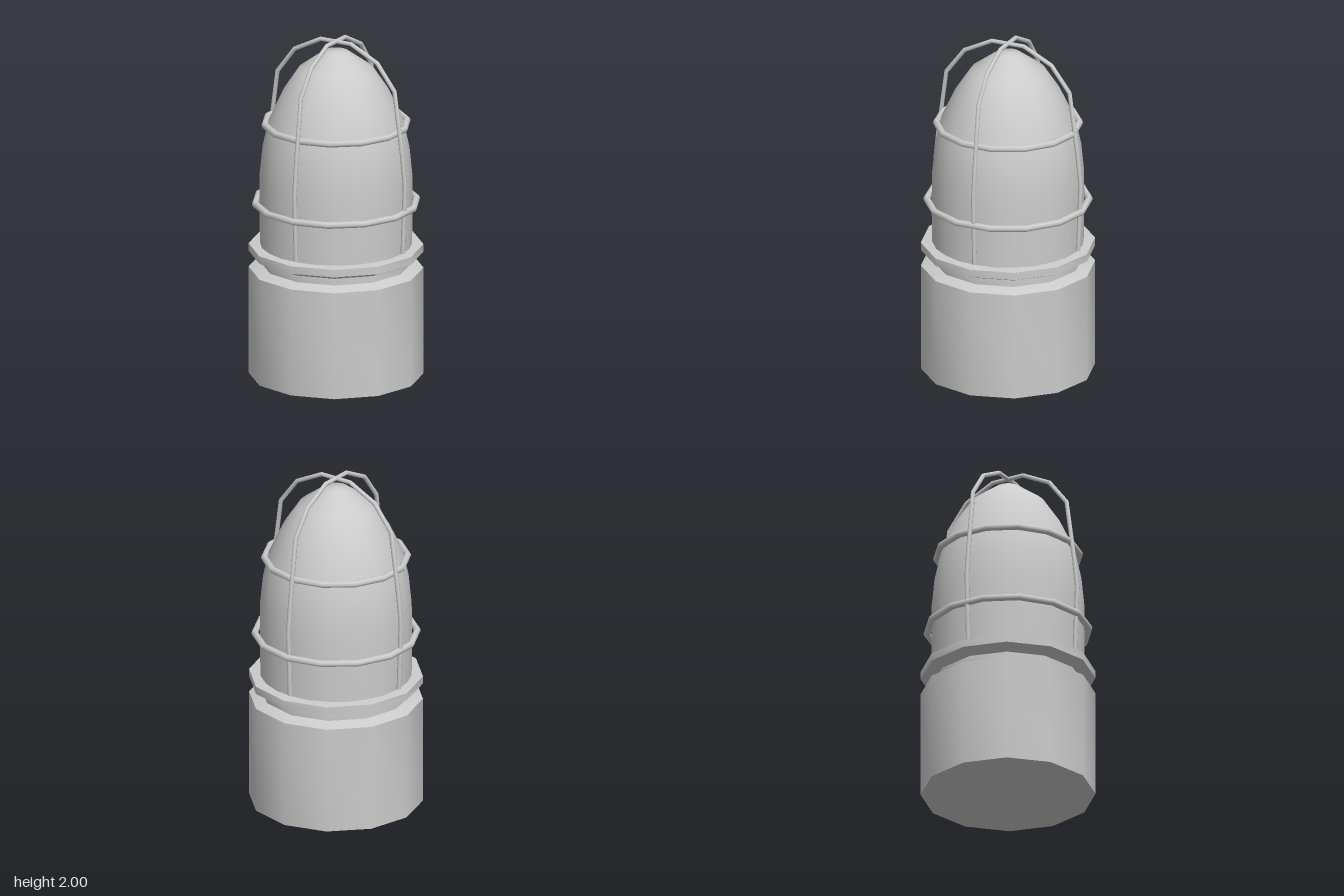
import * as THREE from 'three';
import { toCreasedNormals } from 'three/addons/utils/BufferGeometryUtils.js';

const material = new THREE.MeshStandardMaterial({ color: 0xcccccc });

function part(name, geometry) {
  const mesh = new THREE.Mesh(geometry, material);
  mesh.name = name;
  return mesh;
}

function lathe(points, sides) {
  return new THREE.LatheGeometry(points.map(([r, y]) => new THREE.Vector2(r, y)), sides);
}

// Straight-sided path whose joints are mitred by averaging neighbouring directions
class Polyline extends THREE.Curve {
  constructor(points) {
    super();
    this.points = points;
  }
  getPointAt(t) {
    const n = this.points.length - 1;
    const i = Math.min(Math.floor(t * n + 1e-6), n - 1);
    return this.points[i].clone().lerp(this.points[i + 1], t * n - i);
  }
  getTangentAt(t) {
    const p = this.points;
    const i = Math.round(t * (p.length - 1));
    const dir = (a, b) => p[b].clone().sub(p[a]).normalize();
    const tangent = new THREE.Vector3();
    if (i > 0) tangent.add(dir(i - 1, i));
    if (i < p.length - 1) tangent.add(dir(i, i + 1));
    return tangent.normalize();
  }
}

export function createModel() {
  const model = new THREE.Group();

  // Twelve-sided base with a groove and a flange on top
  const baseProfile = [
    [0, 0], [0.5, 0], [0.5, 0.635], [0.43, 0.66], [0.43, 0.7],
    [0.5, 0.73], [0.5, 0.775], [0.4, 0.785],
  ];
  model.add(part('base', toCreasedNormals(lathe(baseProfile, 12), 0.6)));

  // Smooth bullet-shaped glass dome
  const domeProfile = [
    [0.435, 0.77], [0.438, 1.0], [0.436, 1.2], [0.42, 1.36], [0.385, 1.52],
    [0.305, 1.69], [0.215, 1.825], [0.07, 1.93], [0, 1.935],
  ];
  model.add(part('dome', lathe(domeProfile, 24)));

  // Guard cage: two horizontal hoops and two crossing arches
  const cage = new THREE.Group();
  cage.name = 'cage';
  for (const [name, radius, y] of [['lowerHoop', 0.465, 1.03], ['upperHoop', 0.41, 1.5]]) {
    const hoop = new THREE.TorusGeometry(radius, 0.02, 8, 14);
    hoop.rotateX(Math.PI / 2).rotateY(Math.PI / 2).translate(0, y, 0);
    cage.add(part(name, hoop));
  }

  const half = [[0.445, 0.79], [0.46, 1.2], [0.442, 1.37], [0.39, 1.75], [0.275, 1.9], [0.1, 1.987]];
  const arch = [...half.map(([x, y]) => [-x, y]), ...half.slice().reverse()];
  const path = new Polyline(arch.map(([x, y]) => new THREE.Vector3(x, y, 0)));
  ['sideArch', 'frontArch'].forEach((name, i) => {
    const wire = part(name, new THREE.TubeGeometry(path, arch.length - 1, 0.013, 8));
    wire.rotation.y = i * Math.PI / 2;
    cage.add(wire);
    // Close the wire's feet
    for (const s of [-1, 1]) {
      const foot = part('wireFoot', new THREE.CircleGeometry(0.013, 8));
      foot.rotation.x = Math.PI / 2;
      foot.position.set(s * 0.445, 0.79, 0);
      wire.add(foot);
    }
  });
  model.add(cage);

  return model;
}
